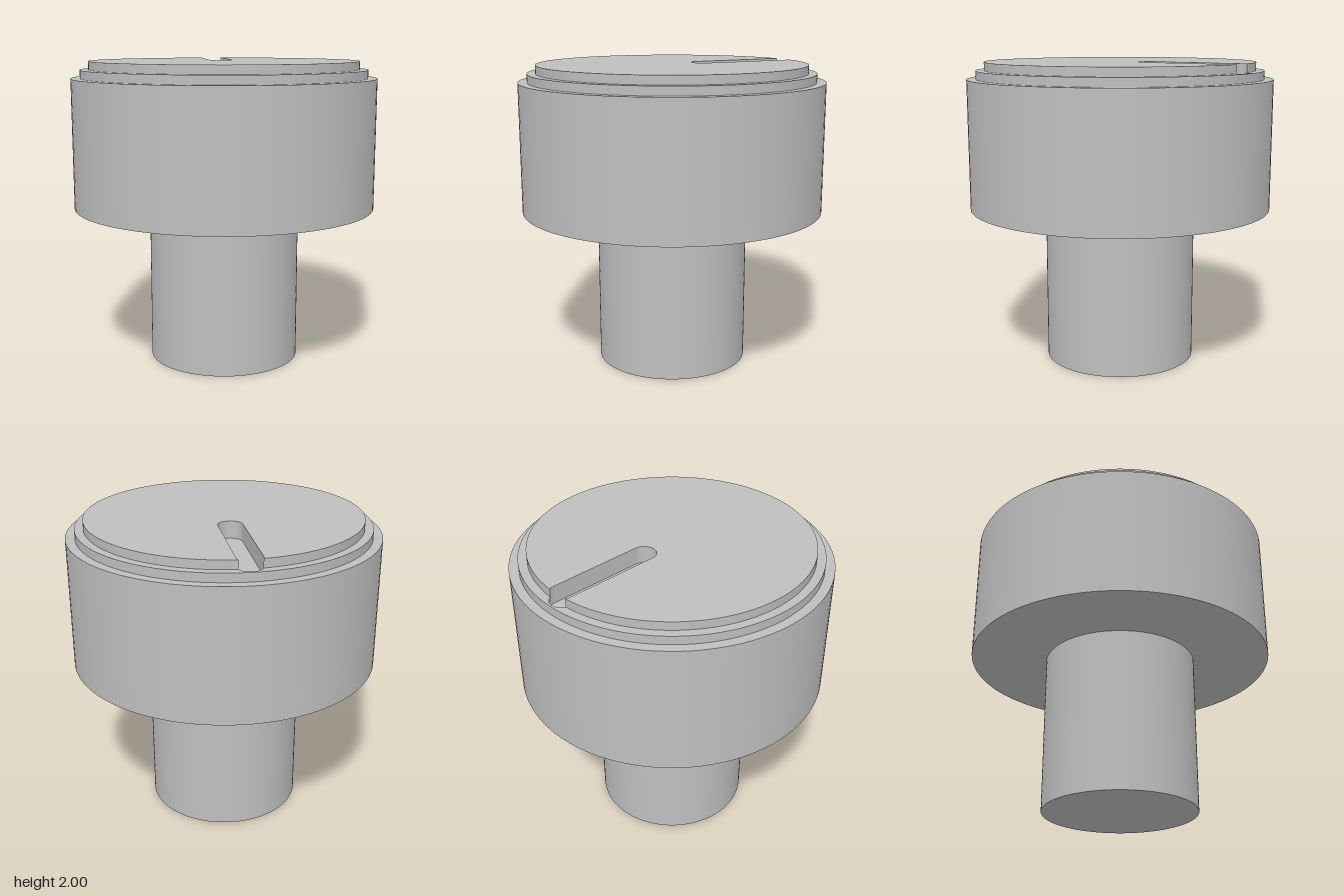
import * as THREE from 'three';
import { toCreasedNormals } from 'three/addons/utils/BufferGeometryUtils.js';

const SEGMENTS = 96;
const SLOT = { r: 0.077, near: 0.232, far: 0.85 };

// Extrude a plan shape upward between two heights; shape +y becomes -z
function slab(shape, y0, y1) {
  const geo = new THREE.ExtrudeGeometry(shape, {
    depth: y1 - y0, bevelEnabled: false, curveSegments: SEGMENTS,
  });
  geo.rotateX(-Math.PI / 2).translate(0, y0, 0);
  return toCreasedNormals(geo, 0.5);
}

export function createModel() {
  const group = new THREE.Group();
  const grey = new THREE.MeshStandardMaterial({ color: 0xbfbfbf });
  grey.name = 'grey';

  const add = (name, geo) => {
    const mesh = new THREE.Mesh(geo, grey);
    mesh.name = name;
    group.add(mesh);
  };
  const cylinder = (r, y0, y1) =>
    new THREE.CylinderGeometry(r, r, y1 - y0, SEGMENTS).translate(0, (y0 + y1) / 2, 0);

  // Stem and wide knob body; the body's top is also the slot floor
  add('stem', cylinder(0.5, 0, 1.04));
  add('body', cylinder(1, 1.04, 1.89));

  // Lower step, with the full round-ended slot cut through it
  const step = new THREE.Shape().absarc(0, 0, 0.94, 0, Math.PI * 2);
  const slot = new THREE.Path();
  slot.absarc(0, SLOT.far, SLOT.r, 0, Math.PI);
  slot.absarc(0, SLOT.near, SLOT.r, Math.PI, Math.PI * 2);
  slot.closePath();
  step.holes.push(slot);
  add('lowerStep', slab(step, 1.89, 1.945));

  // Top disc, where the slot breaks out through the rim
  const R = 0.885;
  const y = (R * R - SLOT.r ** 2 + SLOT.far ** 2) / (2 * SLOT.far);
  const x = Math.sqrt(R * R - y * y);
  const a = Math.atan2(y, x);
  const b = Math.atan2(y - SLOT.far, x);
  const disc = new THREE.Shape();
  disc.absarc(0, 0, R, Math.PI - a, Math.PI * 2 + a);
  disc.absarc(0, SLOT.far, SLOT.r, b, 0, true);
  disc.absarc(0, SLOT.near, SLOT.r, 0, -Math.PI, true);
  disc.absarc(0, SLOT.far, SLOT.r, Math.PI, Math.PI - b, true);
  add('topDisc', slab(disc, 1.945, 2));

  return group;
}
